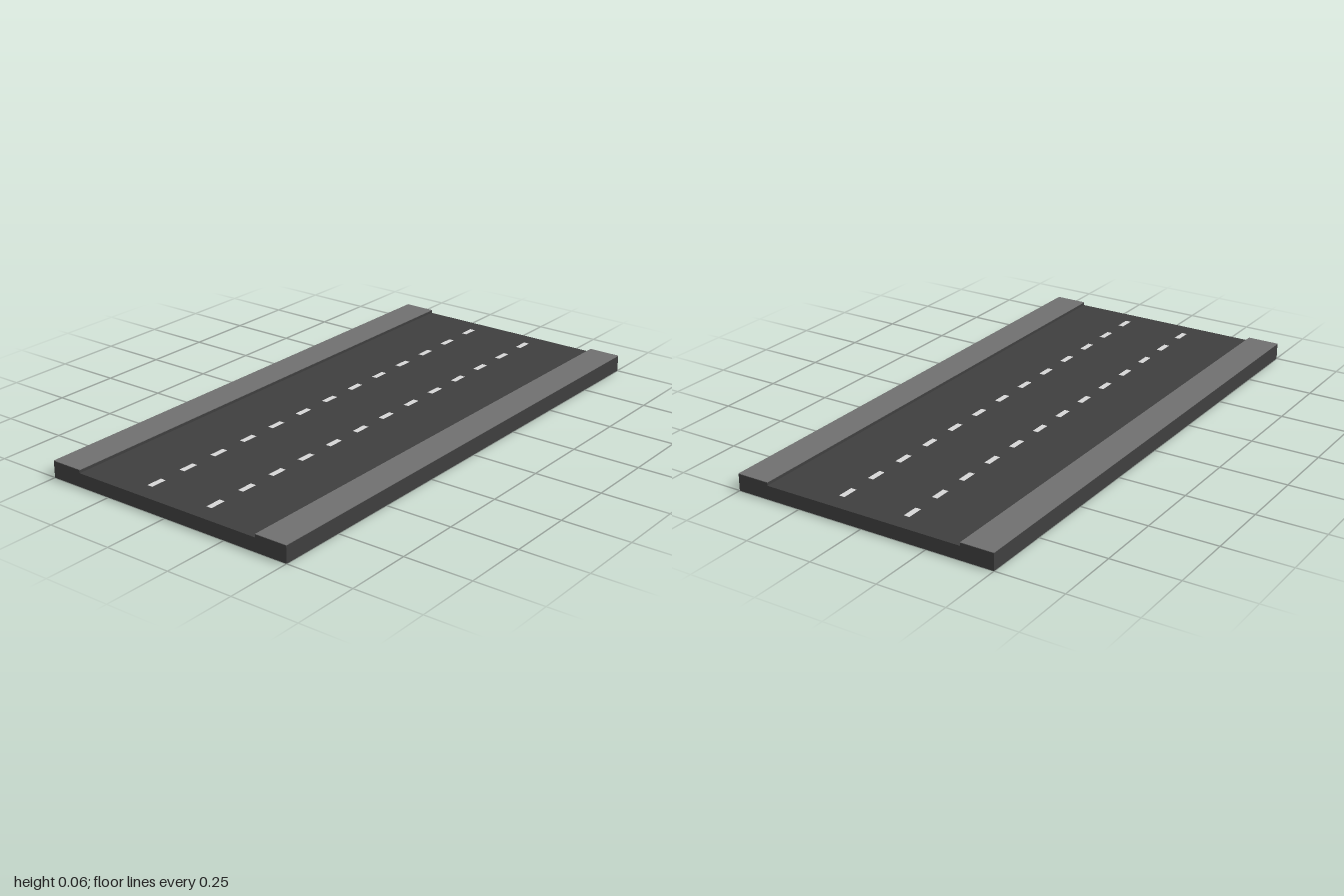
import * as THREE from 'three';

const material = (name, color) => {
  const m = new THREE.MeshStandardMaterial({ color });
  m.name = name;
  return m;
};

export function createModel() {
  const road = new THREE.Group();
  road.name = 'roadSection';

  const asphalt = material('asphalt', 0x3f3f3f);
  const paving = material('paving', 0x707070);
  const paint = material('lanePaint', 0xd6d6d6);

  // Box standing on height y
  const slab = (name, mat, w, h, d, x, y, z) => {
    const mesh = new THREE.Mesh(new THREE.BoxGeometry(w, h, d), mat);
    mesh.name = name;
    mesh.position.set(x, y + h / 2, z);
    road.add(mesh);
  };

  // Road bed
  slab('roadBed', asphalt, 2, 0.05, 1, 0, 0, 0);

  for (const side of [-1, 1]) {
    const label = side > 0 ? 'front' : 'back';

    // Raised pavement: dark kerb with a paved top
    slab(`${label}Kerb`, asphalt, 2, 0.0105, 0.122, 0, 0.05, side * 0.439);
    slab(`${label}Pavement`, paving, 2, 0.002, 0.122, 0, 0.0605, side * 0.439);

    // Dashed lane line
    for (let i = -6; i <= 6; i++) {
      slab(`${label}LaneDash`, paint, 0.062, 0.0006, 0.021, i * 0.15, 0.05, side * 0.128);
    }
  }
  return road;
}
